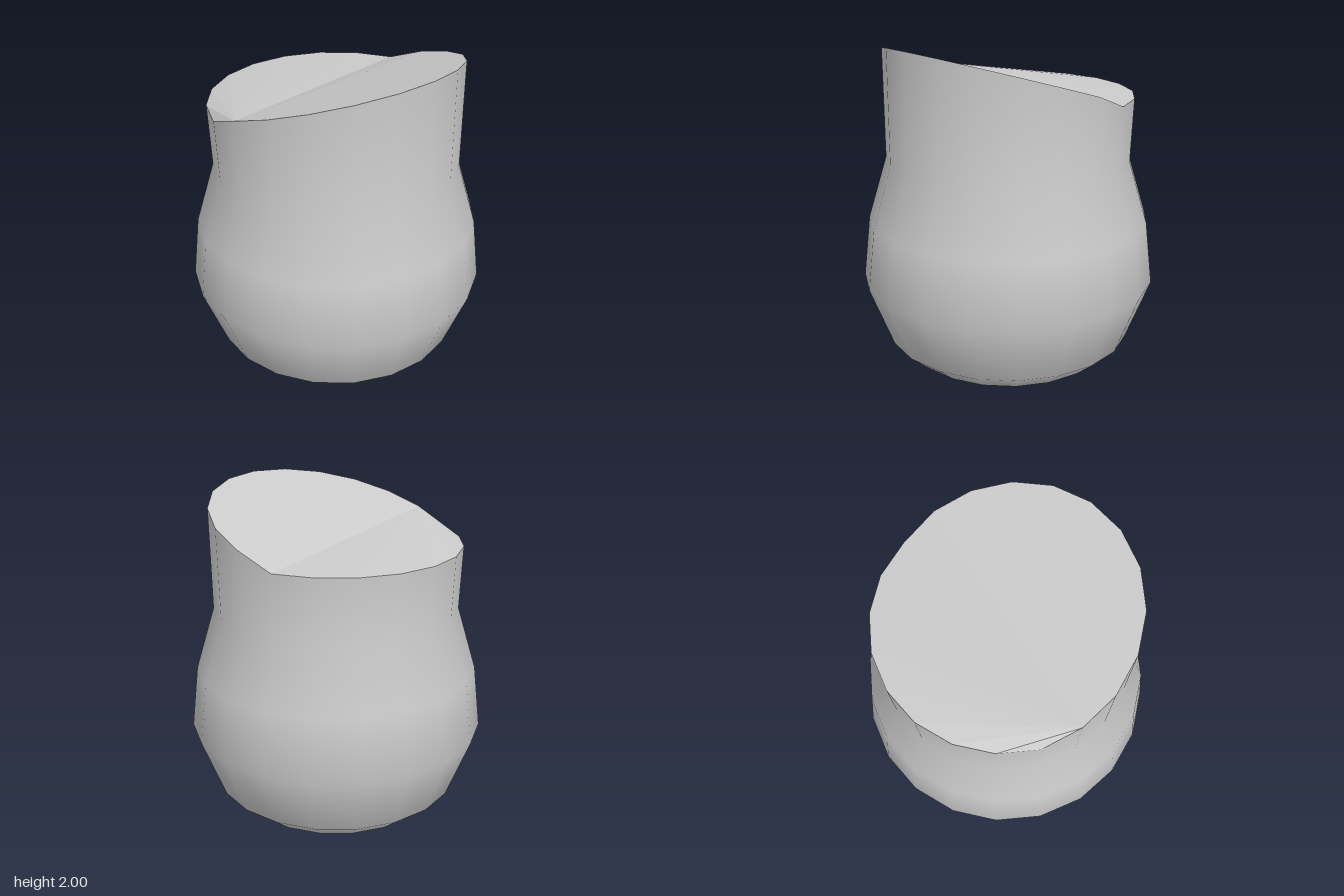
import * as THREE from 'three';

const SIDES = 20;

// Rim point: slanted, with the low side levelled off past x = -0.24
function rimPoint(i) {
  const a = (i / SIDES) * Math.PI * 2;
  const s = Math.sin(a);
  const x = s * (s > 0 ? 0.757 : 0.778);
  const y = x < -0.2 ? 1.67 : 1.765 + 0.31 * x;
  return new THREE.Vector3(x, y, Math.cos(a) * 0.777);
}

export function createModel() {
  const group = new THREE.Group();
  const add = (name, geometry, flatShading = false) => {
    const material = new THREE.MeshStandardMaterial({ color: 0xcccccc, flatShading });
    const mesh = new THREE.Mesh(geometry, material);
    mesh.name = name;
    group.add(mesh);
    return mesh;
  };

  // Rounded body, its top ring moved onto the slanted rim
  const profile = [[0.65, 0], [0.78, 0.11], [0.928, 0.5], [0.882, 0.89], [0.763, 1.28], [0.775, 1.75]]
    .map(([r, y]) => new THREE.Vector2(r, y));
  const body = new THREE.LatheGeometry(profile, SIDES);
  for (let i = 0; i <= SIDES; i++) {
    const p = rimPoint(i);
    body.attributes.position.setXYZ(i * profile.length + profile.length - 1, p.x, p.y, p.z);
  }
  add('body', body);

  // Closed top, folded as a fan from the front rim point
  const points = [];
  for (let i = 1; i < SIDES - 1; i++) points.push(rimPoint(0), rimPoint(i), rimPoint(i + 1));
  const top = new THREE.BufferGeometry().setFromPoints(points);
  top.computeVertexNormals();
  add('slantedTop', top, true);

  // Flat underside
  add('base', new THREE.CircleGeometry(0.65, SIDES).rotateX(Math.PI / 2));

  return group;
}
